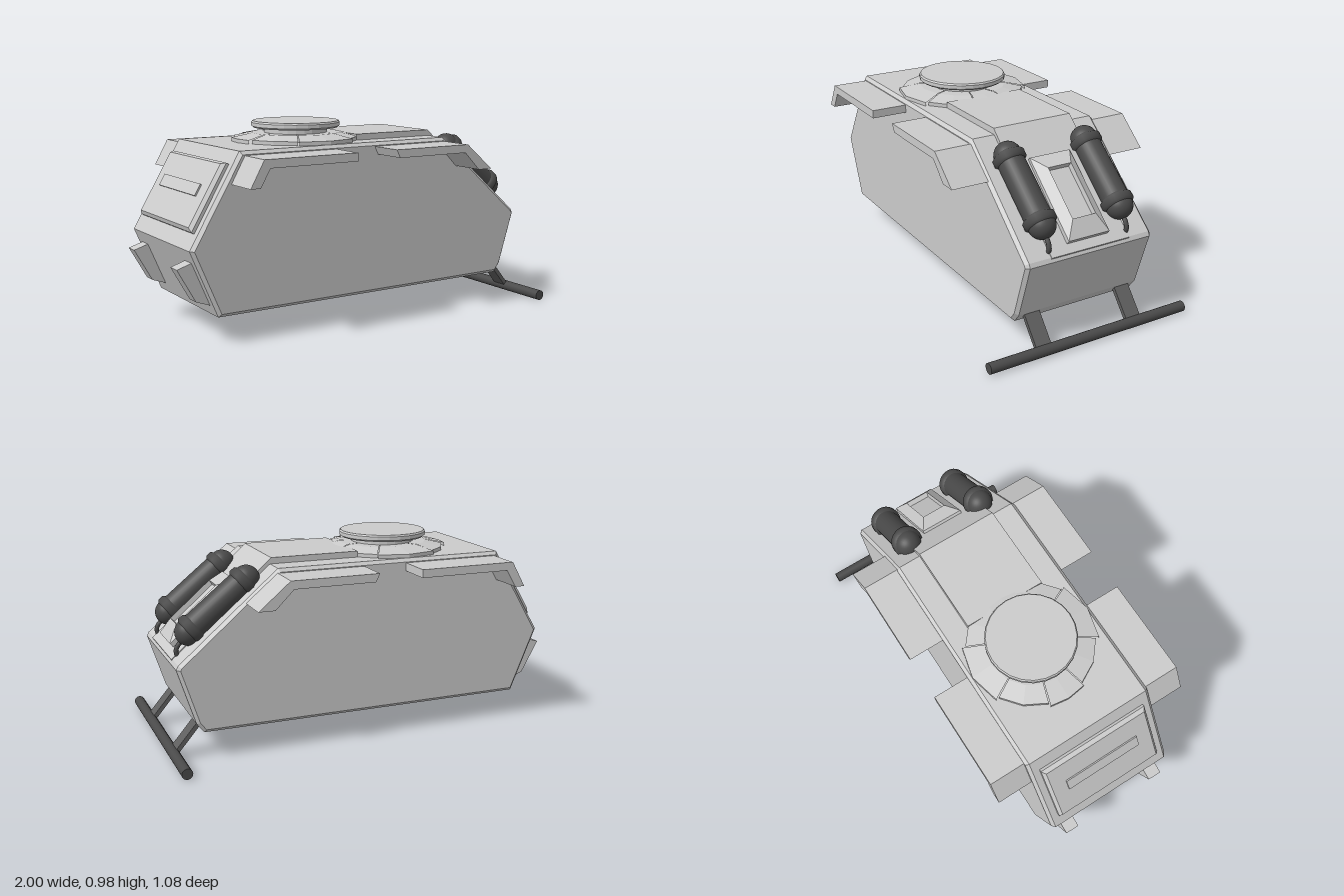
import * as THREE from 'three';

const grey = new THREE.MeshStandardMaterial({ color: 0xcccccc, flatShading: true });
const greyOpen = new THREE.MeshStandardMaterial({ color: 0xcccccc, flatShading: true, side: THREE.DoubleSide });
const dark = new THREE.MeshStandardMaterial({ color: 0x4a4a4a });
const strutDark = new THREE.MeshStandardMaterial({ color: 0x606060 });

function add(parent, name, geometry, material = grey) {
  const mesh = new THREE.Mesh(geometry, material);
  mesh.name = name;
  parent.add(mesh);
  return mesh;
}

// Side profile in x/y, extruded from z0 to z1, with an optional chamfer
function slab(points, z0, z1, bevel = 0) {
  const shape = new THREE.Shape(points.map(([x, y]) => new THREE.Vector2(x, y)));
  return new THREE.ExtrudeGeometry(shape, {
    depth: z1 - z0 - 2 * bevel, bevelEnabled: bevel > 0, bevelSegments: 1,
    bevelSize: bevel, bevelThickness: bevel, bevelOffset: -bevel,
  }).translate(0, 0, z0 + bevel);
}

// Stack of rectangular rings [x0, x1, halfZ, y], closed by the last one
function rectLoft(rings) {
  const pos = [], index = [];
  rings.forEach(([x0, x1, h, y], r) => {
    pos.push(x0, y, h, x1, y, h, x1, y, -h, x0, y, -h);
    for (let i = 0; r > 0 && i < 4; i++) {
      const a = (r - 1) * 4 + i, b = (r - 1) * 4 + (i + 1) % 4;
      index.push(a, b, b + 4, a, b + 4, a + 4);
    }
  });
  const k = (rings.length - 1) * 4;
  index.push(k, k + 1, k + 2, k, k + 2, k + 3);
  const geo = new THREE.BufferGeometry();
  geo.setAttribute('position', new THREE.Float32BufferAttribute(pos, 3));
  geo.setIndex(index);
  geo.computeVertexNormals();
  return geo;
}

const lathe = (points, segments, start, length) =>
  new THREE.LatheGeometry(points.map(([x, y]) => new THREE.Vector2(x, y)), segments, start, length);

// Group whose local x runs along a slope and local y points out of it
function slopeGroup(parent, name, x, y, angle) {
  const group = new THREE.Group();
  group.name = name;
  group.position.set(x, y, 0);
  group.rotation.z = angle;
  parent.add(group);
  return group;
}

function createHull(model) {
  add(model, 'hull', slab([
    [-0.82, 0.13], [0.835, 0.13], [0.87, 0.175], [0.955, 0.445], [0.945, 0.465],
    [0.46, 0.88], [-0.70, 0.88], [-0.955, 0.45],
  ], -0.34, 0.34, 0.016));
  // Raised plate running over the roof and down the slope
  add(model, 'raisedPlate', slab([
    [0.01, 0.86], [0.01, 0.91], [0.455, 0.91], [0.95, 0.465], [0.94, 0.44], [0.46, 0.85],
  ], -0.21, 0.21));
}

function createFenders(model) {
  const forward = [[0.05, 0.82], [0.45, 0.82], [0.54, 0.73], [0.62, 0.73], [0.465, 0.86], [0.03, 0.86]];
  const rear = [[-0.75, 0.735], [-0.70, 0.735], [-0.65, 0.82], [-0.19, 0.82], [-0.19, 0.86], [-0.68, 0.86]];
  for (const [z0, z1] of [[0.32, 0.52], [-0.52, -0.32]]) {
    add(model, 'forwardFender', slab(forward, z0, z1));
    add(model, 'rearFender', slab(rear, z0, z1));
  }
}

function createTurret(model) {
  const turret = new THREE.Group();
  turret.name = 'turret';
  turret.position.x = -0.215;
  model.add(turret);
  // Eight separate ring plates, alternating in width and radius
  const spans = [56, 45, 34, 45, 56, 45, 34, 45];
  let angle = -28;
  for (const [i, span] of spans.entries()) {
    const r = i % 2 ? 0.31 : 0.325;
    const profile = [[0.14, 0.87], [r, 0.87], [r, 0.898], [0.22, 0.918], [0.14, 0.918]];
    add(turret, 'ringPlate', lathe(profile, 2, THREE.MathUtils.degToRad(angle + 0.5),
      THREE.MathUtils.degToRad(span - 1)), greyOpen);
    angle += span;
  }
  add(turret, 'turretNeck', new THREE.CylinderGeometry(0.157, 0.157, 0.09, 24).translate(0, 0.91, 0));
  add(turret, 'turretLid', lathe([[0, 0.942], [0.21, 0.942], [0.22, 0.95], [0.22, 0.968], [0.214, 0.976], [0, 0.976]], 24));
}

function createFrontSlope(model) {
  const slope = slopeGroup(model, 'frontSlope', 0.46, 0.88, -0.71);
  // Window frame with a sunken pane
  add(slope, 'windowFrame', rectLoft([
    [0.165, 0.597, 0.11, 0], [0.165, 0.597, 0.11, 0.03], [0.246, 0.511, 0.062, 0.062], [0.25, 0.507, 0.059, 0.036],
  ]));
  for (const z of [-0.21, 0.21]) {
    const tank = new THREE.Group();
    tank.name = 'tank';
    tank.position.z = z;
    slope.add(tank);
    const body = add(tank, 'tankBody', new THREE.CapsuleGeometry(0.065, 0.366, 10, 28), dark);
    body.position.set(0.313, 0.038, 0);
    body.rotation.z = Math.PI / 2 + 0.03;
    // Collars at both ends
    for (const y of [-0.163, 0.163]) {
      add(body, 'tankCollar', lathe([[0.06, y - 0.028], [0.077, y - 0.014], [0.077, y + 0.014], [0.06, y + 0.028]], 28), dark);
    }
    const path = new THREE.CatmullRomCurve3([[0.53, 0.035], [0.575, 0.032], [0.6, 0.018], [0.612, -0.01]]
      .map(([x, y]) => new THREE.Vector3(x, y, 0)));
    add(tank, 'tankPipe', new THREE.TubeGeometry(path, 10, 0.011, 10), dark);
  }
}

function createRear(model) {
  const slope = slopeGroup(model, 'rearSlope', -0.955, 0.45, 1.035);
  add(slope, 'rearHatch', rectLoft([[0.08, 0.43, 0.29, -0.01], [0.08, 0.43, 0.29, 0.015], [0.095, 0.415, 0.275, 0.032]]));
  add(slope, 'hatchSlot', rectLoft([[0.24, 0.3, 0.2, 0.02], [0.24, 0.3, 0.2, 0.04]]));
  // Pair of wedge blocks on the lower slope
  const block = [[-1.0, 0.365], [-0.91, 0.205], [-0.84, 0.18], [-0.92, 0.39]];
  for (const z of [-0.25, 0.25]) add(model, 'rearBlock', slab(block, z - 0.035, z + 0.035));
}

function createBumper(model) {
  add(model, 'bumperBar', new THREE.CylinderGeometry(0.026, 0.026, 1.08, 24).rotateX(Math.PI / 2), dark)
    .position.set(0.972, 0.026, 0);
  for (const z of [-0.25, 0.25]) {
    add(model, 'bumperStrut', slab([[0.845, 0.155], [0.96, 0.02], [0.975, 0.035], [0.86, 0.17]], z - 0.04, z + 0.04), strutDark);
  }
}

export function createModel() {
  const model = new THREE.Group();
  model.name = 'armouredVehicleBody';
  for (const build of [createHull, createFenders, createTurret, createFrontSlope, createRear, createBumper]) build(model);
  return model;
}
